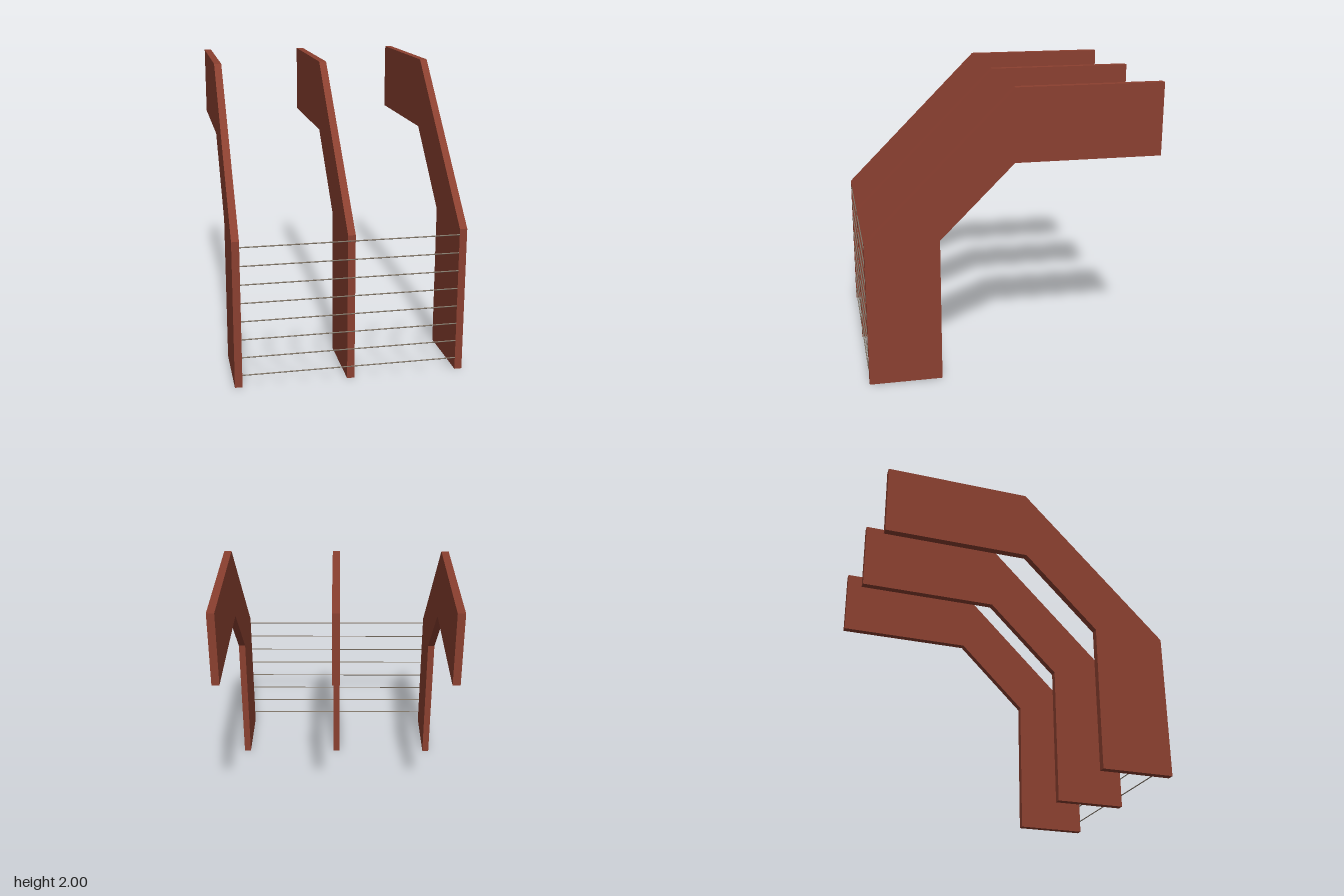
import * as THREE from 'three';

const ribMaterial = new THREE.MeshStandardMaterial({ color: 0x8b4030, flatShading: true });
const railMaterial = new THREE.MeshStandardMaterial({ color: 0x857a6c });

const RIB_THICKNESS = 0.05;
const RIB_SPACING = 0.75;
const RAIL_COUNT = 8;
const RAIL_RADIUS = 0.004;
const FRONT = 0.997;

// Bent rib outline as (z, y): upright leg, 45 degree slope, level arm
function ribGeometry() {
  const outline = [
    [FRONT, 0], [FRONT, 0.998], [0, 1.995], [-1, 1.995],
    [-1, 1.5], [0, 1.5], [0.5, 1], [0.5, 0],
  ];
  const shape = new THREE.Shape(outline.map(([z, y]) => new THREE.Vector2(-z, y)));
  const geometry = new THREE.ExtrudeGeometry(shape, { depth: RIB_THICKNESS, bevelEnabled: false });
  geometry.translate(0, 0, -RIB_THICKNESS / 2);
  geometry.rotateY(Math.PI / 2); // shape x becomes -z, thickness runs along x
  return geometry;
}

export function createModel() {
  const model = new THREE.Group();
  model.name = 'ribFrame';

  // Three parallel ribs
  const ribShape = ribGeometry();
  ['rightRib', 'middleRib', 'leftRib'].forEach((name, i) => {
    const rib = new THREE.Mesh(ribShape, ribMaterial);
    rib.name = name;
    rib.position.x = (i - 1) * RIB_SPACING;
    model.add(rib);
  });

  // Thin horizontal rails along the front of the legs
  const rails = new THREE.Group();
  rails.name = 'frontRails';
  const railLength = 2 * RIB_SPACING - RIB_THICKNESS;
  const railShape = new THREE.CylinderGeometry(RAIL_RADIUS, RAIL_RADIUS, railLength, 10);
  railShape.rotateZ(Math.PI / 2);
  for (let i = 0; i < RAIL_COUNT; i++) {
    const rail = new THREE.Mesh(railShape, railMaterial);
    rail.name = `rail${i + 1}`;
    rail.position.set(0, 0.084 + i * 0.125, 1 - RAIL_RADIUS);
    rails.add(rail);
  }
  model.add(rails);

  return model;
}
